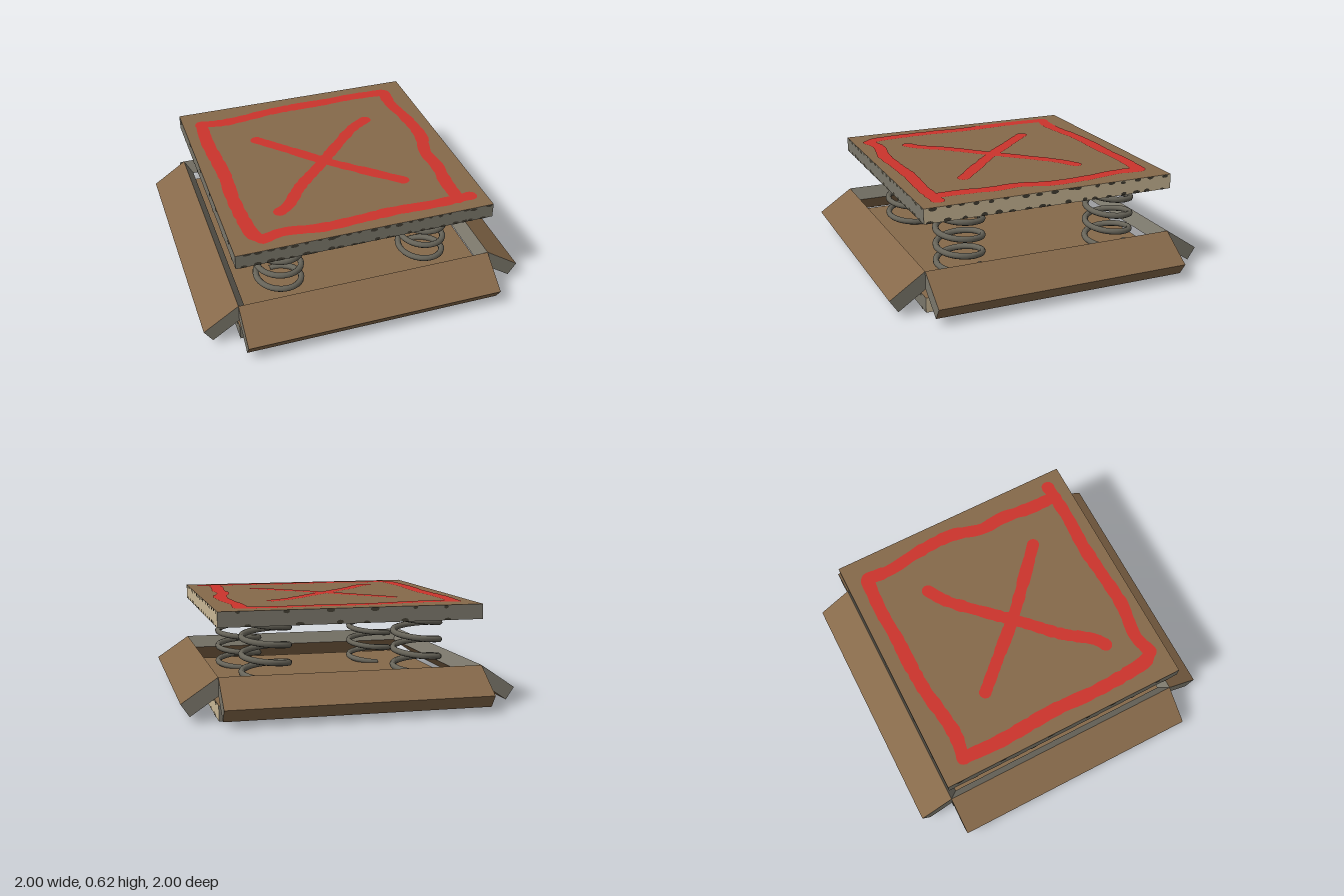
import * as THREE from 'three';
import { mergeGeometries } from 'three/addons/utils/BufferGeometryUtils.js';

const mat = (name, color, side = THREE.FrontSide) => {
  const m = new THREE.MeshStandardMaterial({ color, side });
  m.name = name;
  return m;
};

// Small seeded random generator
let seed = 7;
const rand = () => {
  seed = (seed * 16807) % 2147483647;
  return seed / 2147483647;
};

const HALF = 0.788; // half width of the square sheets
const THICK = 0.09; // cardboard thickness

// Flat brush stroke lying in the xz plane, with a slightly uneven width and round ends
function strokeGeometry(points, width, y) {
  const curve = new THREE.CatmullRomCurve3(points.map(([x, z]) => new THREE.Vector3(x, y, z)));
  const steps = 44, pos = [], index = [];
  for (let i = 0; i <= steps; i++) {
    const p = curve.getPointAt(i / steps), t = curve.getTangentAt(i / steps);
    const w = width * (0.46 + 0.1 * rand());
    pos.push(p.x + t.z * w, y, p.z - t.x * w, p.x - t.z * w, y, p.z + t.x * w);
    if (i < steps) {
      const a = i * 2;
      index.push(a, a + 1, a + 2, a + 1, a + 3, a + 2);
    }
  }
  const ribbon = new THREE.BufferGeometry();
  ribbon.setAttribute('position', new THREE.Float32BufferAttribute(pos, 3));
  ribbon.setAttribute('normal', new THREE.Float32BufferAttribute(pos.map((_, i) => (i % 3 === 1 ? 1 : 0)), 3));
  ribbon.setIndex(index);
  const caps = [points[0], points[points.length - 1]].map(([x, z]) => {
    const c = new THREE.CircleGeometry(width * 0.52, 14).rotateX(-Math.PI / 2).translate(x, y, z);
    c.deleteAttribute('uv');
    return c;
  });
  return mergeGeometries([ribbon, ...caps]);
}

// Dark notches along the upper and lower rims of one sheet side (side 0 = front, 1 = +x, ...)
function notchGeometry(side, count, yLow, yHigh) {
  const parts = [];
  for (const rim of [yLow, yHigh]) {
    for (let i = 0; i < count; i++) {
      const x = ((i + 0.5 + (rand() - 0.5) * 0.7) / count * 2 - 1) * 0.77;
      const inset = rand() * 0.012 * (rim === yLow ? 1 : -1);
      const g = new THREE.CircleGeometry(1, 9);
      g.scale(0.013 + rand() * 0.014, 0.009 + rand() * 0.006, 1);
      g.translate(x, rim + inset, HALF + 0.002);
      const p = g.attributes.position;
      for (let v = 0; v < p.count; v++) {
        p.setX(v, THREE.MathUtils.clamp(p.getX(v), -HALF, HALF));
        p.setY(v, THREE.MathUtils.clamp(p.getY(v), yLow, yHigh));
      }
      parts.push(g.rotateY(side * Math.PI / 2));
    }
  }
  return mergeGeometries(parts);
}

// Helix used as the spring's wire path
class Helix extends THREE.Curve {
  getPoint(t, target = new THREE.Vector3()) {
    const y = 0.09 + t * 0.44;
    const a = Math.PI / 4 + ((y - 0.447) / 0.105) * Math.PI * 2;
    return target.set(Math.cos(a) * 0.14, y, Math.sin(a) * 0.14);
  }
}

export function createModel() {
  const model = new THREE.Group();
  model.name = 'springTrap';

  const brown = mat('cardboardBrown', 0x86694a);
  const grey = mat('edgeGrey', 0x7b776b);
  const cream = mat('edgeCream', 0xcbb997);
  const dark = mat('notchDark', 0x423e33);
  const steel = mat('springSteel', 0x68655a);
  const red = mat('paintRed', 0xcc342c, THREE.DoubleSide);

  const add = (name, geometry, material, parent = model) => {
    const mesh = new THREE.Mesh(geometry, material);
    mesh.name = name;
    parent.add(mesh);
    return mesh;
  };

  // Base and top sheets: brown faces, cream on the +x edge, grey on the others
  const sheetMaterials = [cream, grey, brown, brown, grey, grey];
  for (const [name, y] of [['baseSheet', 0], ['topSheet', 0.53]]) {
    add(name, new THREE.BoxGeometry(HALF * 2, THICK, HALF * 2), sheetMaterials).position.y = y + THICK / 2;
    const counts = y ? [22, 17, 6, 6] : [9, 12, 6, 6];
    counts.forEach((n, side) => add(name + 'Notches', notchGeometry(side, n, y, y + THICK), dark));
  }

  // Worn pale strip on the front edge of the base
  add('baseWornStrip', new THREE.BoxGeometry(0.52, 0.022, 0.002), cream).position.set(-0.49, 0.014, HALF);

  // Four tilted flaps around the base
  for (let i = 0; i < 4; i++) {
    const hinge = new THREE.Group();
    hinge.name = 'flapHinge';
    hinge.rotation.y = i * Math.PI / 2;
    model.add(hinge);
    const g = new THREE.BoxGeometry(0.257, THICK, HALF * 2);
    g.translate(0.1285, -THICK / 2, 0).rotateZ(-0.594).translate(HALF, 0.253, 0);
    add('flap', g, [brown, grey, brown, brown, grey, grey], hinge);
  }

  // Four coil springs
  const wire = new THREE.TubeGeometry(new Helix(), 130, 0.019, 8, false);
  for (const x of [-0.46, 0.475]) {
    for (const z of [-0.54, 0.465]) add('spring', wire, steel).position.set(x, 0, z);
  }

  // Painted frame and cross on the top sheet
  const strokes = {
    frameBack: [[-0.67, -0.63], [-0.53, -0.61], [-0.4, -0.62], [-0.2, -0.65], [0, -0.66], [0.2, -0.66], [0.4, -0.67], [0.63, -0.66]],
    frameRight: [[-0.67, -0.63], [-0.68, -0.4], [-0.66, 0], [-0.67, 0.25], [-0.66, 0.5], [-0.64, 0.64], [-0.6, 0.69]],
    frameFront: [[-0.6, 0.69], [-0.48, 0.66], [-0.25, 0.69], [0, 0.68], [0.2, 0.67], [0.45, 0.68], [0.69, 0.67]],
    frameLeft: [[0.64, -0.65], [0.63, -0.5], [0.66, -0.3], [0.67, -0.05], [0.62, 0.15], [0.63, 0.3], [0.61, 0.5], [0.61, 0.66]],
    crossA: [[-0.37, -0.33], [-0.18, -0.13], [-0.02, 0.04], [0.2, 0.24], [0.37, 0.39]],
    crossB: [[0.39, -0.35], [0.28, -0.28], [0.1, -0.1], [-0.07, 0.08], [-0.25, 0.26], [-0.38, 0.43], [-0.44, 0.47]],
  };
  for (const [name, points] of Object.entries(strokes)) {
    add(name, strokeGeometry(points, name.startsWith('cross') ? 0.075 : 0.08, 0.623), red);
  }

  return model;
}
